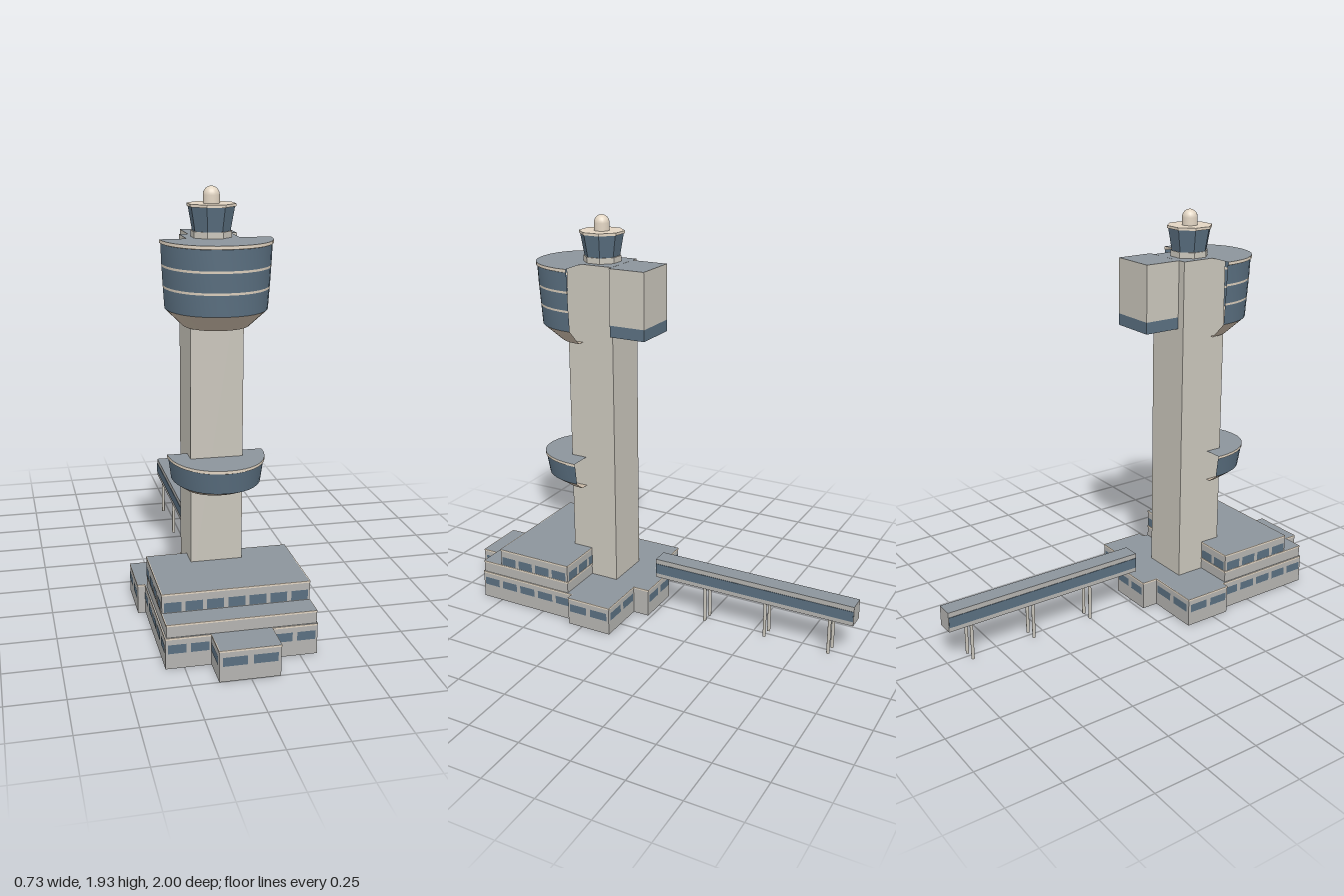
import * as THREE from 'three';

const mat = (color) => new THREE.MeshStandardMaterial({ color, side: THREE.DoubleSide });

export function createModel() {
  const wall = mat(0xb4b3b0), glass = mat(0x5a6f80), trim = mat(0xe2d5c3);
  const stone = mat(0xc9c5bb), roof = mat(0x8c949b), soffit = mat(0xc4b5a3);
  const model = new THREE.Group();

  const add = (name, geo, material, parent = model) => {
    const m = new THREE.Mesh(geo, material);
    m.name = name;
    parent.add(m);
    return m;
  };
  // Box given by its extents
  const block = (name, [x0, x1], [y0, y1], [z0, z1], material) => {
    const m = add(name, new THREE.BoxGeometry(x1 - x0, y1 - y0, z1 - z0), material);
    m.position.set((x0 + x1) / 2, (y0 + y1) / 2, (z0 + z1) / 2);
    return m;
  };

  // Building storey open below: outline of [x, z] points, windows along each wall
  function storey(name, outline, y0, y1, win) {
    const g = new THREE.Group();
    g.name = name;
    model.add(g);
    outline.forEach((p, i) => {
      const q = outline[(i + 1) % outline.length];
      const dx = q[0] - p[0], dz = q[1] - p[1], len = Math.hypot(dx, dz);
      const side = new THREE.Group();
      side.name = name + 'Side';
      side.position.set((p[0] + q[0]) / 2, 0, (p[1] + q[1]) / 2);
      side.rotation.y = Math.atan2(-dz, dx);
      g.add(side);
      add('wall', new THREE.PlaneGeometry(len, y1 - y0), wall, side).position.y = (y0 + y1) / 2;
      add('roofEdge', new THREE.BoxGeometry(len, 0.008, 0.004), trim, side).position.y = y1 - 0.004;
      if (!win) return;
      const n = Math.floor(len / 0.09), step = len / n;
      for (let k = 0; k < n; k++) {
        const w = add('window', new THREE.PlaneGeometry(step * 0.8, win[1] - win[0]), glass, side);
        w.position.set((k + 0.5) * step - len / 2, (win[0] + win[1]) / 2, 0.003);
      }
    });
    const shape = new THREE.Shape(outline.map(([x, z]) => new THREE.Vector2(x, -z)));
    add(name + 'Roof', new THREE.ShapeGeometry(shape).rotateX(-Math.PI / 2), roof, g).position.y = y1;
  }
  const rect = (x0, x1, z0, z1) => [[x0, z1], [x1, z1], [x1, z0], [x0, z0]];

  // Stepped base building
  storey('groundFloor', [
    [-0.135, 1], [0.125, 1], [0.125, 0.855], [0.325, 0.855], [0.325, 0.325], [0.362, 0.325],
    [0.362, 0.098], [0.117, 0.098], [0.117, 0.017], [-0.105, 0.017], [-0.105, 0.098],
    [-0.365, 0.098], [-0.365, 0.335], [-0.33, 0.335], [-0.33, 0.855], [-0.135, 0.855],
  ], 0, 0.14, [0.07, 0.11]);
  storey('middleFloor', rect(-0.325, 0.322, 0.352, 0.85), 0.14, 0.198);
  storey('upperFloor', rect(-0.325, 0.322, 0.352, 0.745), 0.198, 0.285, [0.202, 0.246]);

  // Tower shaft
  block('shaft', [-0.14, 0.092], [0.14, 1.718], [0.21, 0.45],
    [stone, stone, roof, stone, stone, stone]);

  // Rear box on the shaft, with a glass band below
  const rx = [-0.102, 0.118], rz = [0.03, 0.209];
  block('rearBox', rx, [1.455, 1.718], rz, [stone, stone, roof, stone, stone, stone]);
  block('rearBoxGlass', rx, [1.4, 1.455], rz, [glass, glass, stone, stone, glass, glass]);

  // Half-round pod, open at the back: rings of [y, half width, depth, material of strip above]
  function pod(name, rings) {
    const g = new THREE.Group();
    g.name = name;
    g.position.set(-0.015, 0, 0.37);
    model.add(g);
    const N = 18;
    const bulge = (v) => Math.sign(v) * Math.pow(Math.abs(v), 0.93);
    for (let r = 0; r < rings.length - 1; r++) {
      const pos = [], idx = [];
      for (const [y, w, d] of [rings[r], rings[r + 1]])
        for (let i = 0; i <= N; i++) {
          const t = (i / N) * Math.PI;
          pos.push(w * bulge(Math.cos(t)), y, d * bulge(Math.sin(t)));
        }
      for (let i = 0; i < N; i++) {
        const a = i, b = i + 1, c = N + 2 + i, d = N + 1 + i;
        idx.push(a, d, c, a, c, b);
      }
      const geo = new THREE.BufferGeometry();
      geo.setAttribute('position', new THREE.Float32BufferAttribute(pos, 3));
      geo.setIndex(idx);
      geo.computeVertexNormals();
      add(name + 'Strip', geo, rings[r][3], g);
    }
  }
  pod('mainPod', [
    [1.35, 0, 0, soffit], [1.35, 0.145, 0.157, soffit], [1.425, 0.221, 0.246, glass],
    [1.515, 0.227, 0.252, trim], [1.525, 0.228, 0.253, glass],
    [1.605, 0.232, 0.259, trim], [1.615, 0.233, 0.26, glass],
    [1.702, 0.236, 0.264, trim], [1.704, 0.241, 0.27, trim], [1.718, 0.241, 0.27, roof],
    [1.718, 0, 0, roof],
  ]);
  pod('lowerPod', [
    [0.622, 0, 0, soffit], [0.622, 0.15, 0.158, soffit], [0.66, 0.197, 0.245, glass],
    [0.755, 0.21, 0.262, trim], [0.757, 0.215, 0.266, trim], [0.77, 0.215, 0.266, roof],
    [0.77, 0, 0, roof],
  ]);

  // Octagonal control cab with dome; radii are given across the flats
  const cab = new THREE.Group();
  cab.name = 'controlCab';
  cab.position.set(-0.024, 0, 0.327);
  model.add(cab);
  const octagon = (name, bottom, top, y0, y1, material) => {
    const k = 1 / Math.cos(Math.PI / 8);
    const geo = new THREE.CylinderGeometry(top * k, bottom * k, y1 - y0, 8).rotateY(Math.PI / 8);
    const m = add(name, geo.toNonIndexed(), material, cab);
    m.geometry.computeVertexNormals();
    m.position.y = (y0 + y1) / 2;
  };
  octagon('cabNeck', 0.082, 0.082, 1.715, 1.745, stone);
  octagon('cabGlass', 0.077, 0.094, 1.745, 1.848, glass);
  octagon('cabRoof', 0.099, 0.099, 1.848, 1.86, trim);
  const dome = [[0.036, 1.86], [0.036, 1.895]];
  for (let i = 1; i <= 8; i++) {
    const t = (i / 8) * Math.PI / 2;
    dome.push([0.036 * Math.cos(t), 1.895 + 0.037 * Math.sin(t)]);
  }
  add('dome', new THREE.LatheGeometry(dome.map(([x, y]) => new THREE.Vector2(x, y)), 20), trim, cab);

  // Rear walkway on paired legs
  block('walkway', [-0.044, 0.039], [0.18, 0.277], [-1, 0.015],
    [wall, wall, roof, wall, wall, wall]);
  for (const x of [-0.0445, 0.0395])
    block('walkwayWindowBand', [x - 0.002, x + 0.002], [0.202, 0.253], [-0.998, 0.013], glass);
  for (const z of [-0.25, -0.565, -0.885])
    for (const x of [-0.031, 0.026]) {
      const leg = add('walkwayLeg', new THREE.CylinderGeometry(0.008, 0.008, 0.18, 8), stone);
      leg.position.set(x, 0.09, z);
    }

  return model;
}
